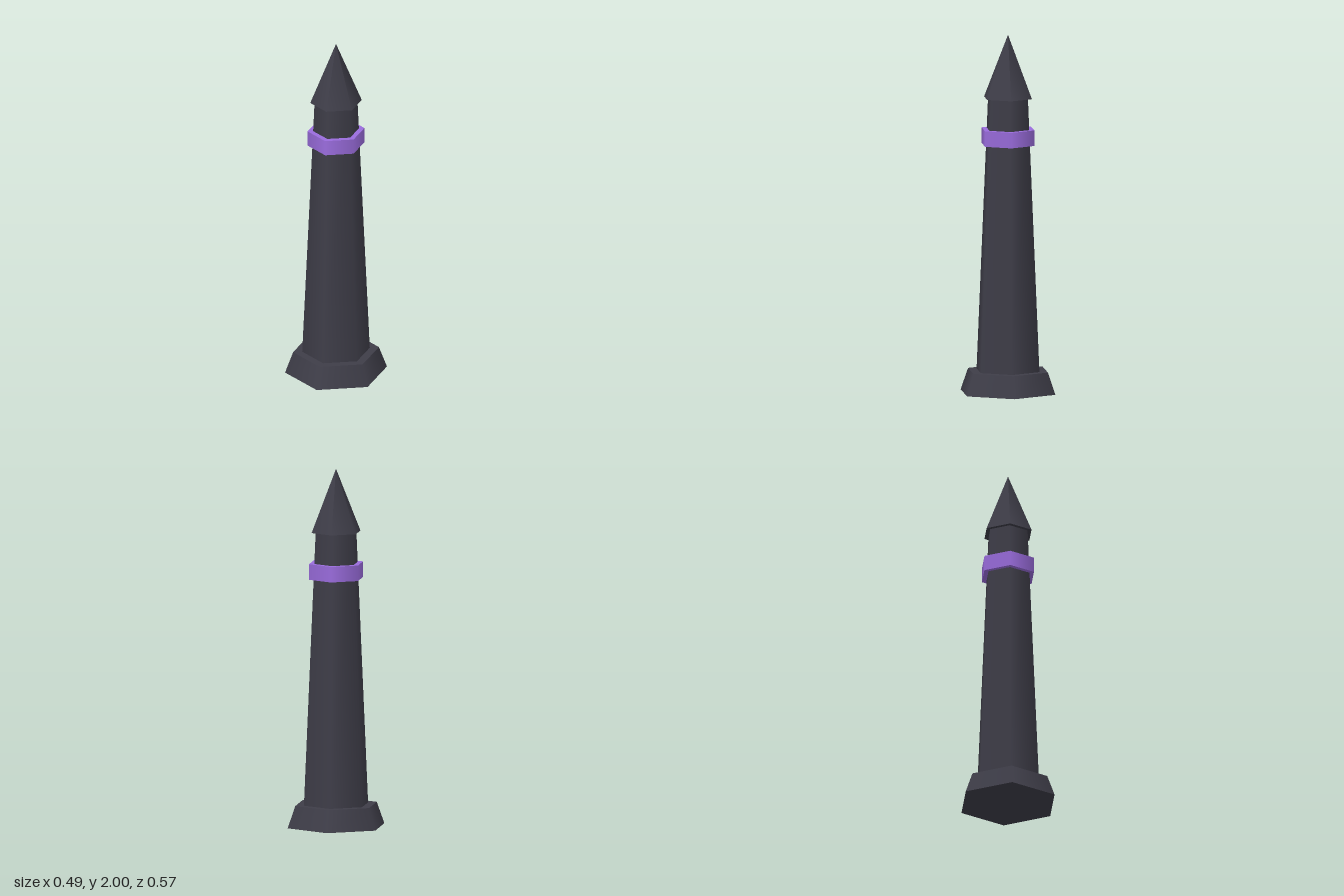
import * as THREE from 'three';

export function createModel() {
  const model = new THREE.Group();
  const stone = new THREE.MeshStandardMaterial({ color: 0x3e3d48 });
  stone.name = 'dark stone';
  const violet = new THREE.MeshStandardMaterial({ color: 0x9a6cdd });
  violet.name = 'violet band';

  // Six-sided section with corners on +z and -z, spanning y0 to y1
  function section(name, rBottom, rTop, y0, y1, material) {
    const geometry = new THREE.CylinderGeometry(rTop, rBottom, y1 - y0, 6);
    const mesh = new THREE.Mesh(geometry, material);
    mesh.name = name;
    mesh.position.y = (y0 + y1) / 2;
    model.add(mesh);
  }

  section('base', 0.285, 0.24, 0, 0.122, stone);
  section('shaft', 0.189, 0.12, 0.122, 1.647, stone);
  section('collarBand', 0.159, 0.159, 1.386, 1.473, violet);
  section('spire', 0.144, 0, 1.647, 2, stone);

  return model;
}
